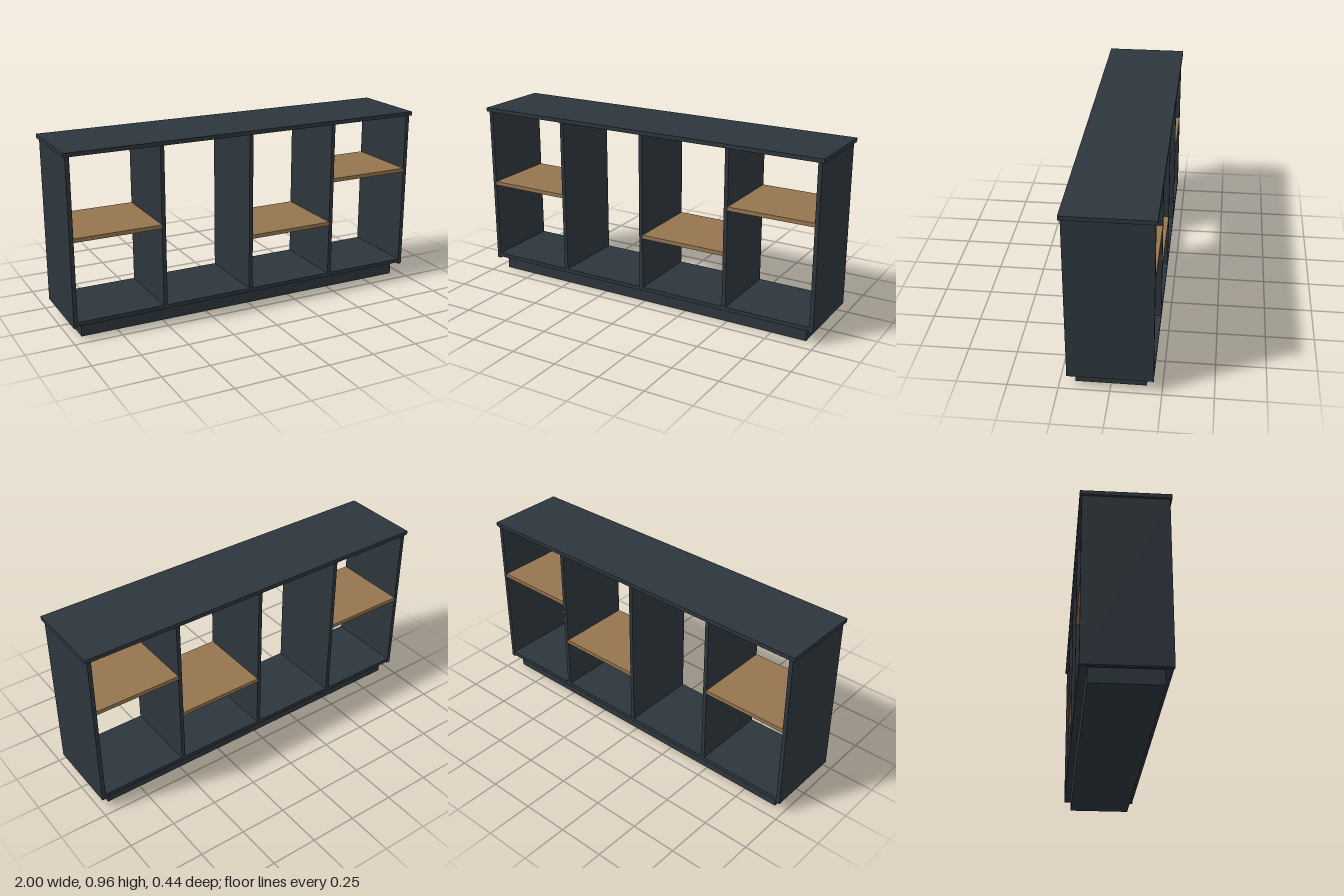
import * as THREE from 'three';

export function createModel() {
  const group = new THREE.Group();
  const anthracite = new THREE.MeshStandardMaterial({ color: 0x2d363d });
  anthracite.name = 'anthracite';
  const wood = new THREE.MeshStandardMaterial({ color: 0x96754f });
  wood.name = 'wood';

  // Box given by its extents in x and y, and its depth centred on z = 0
  const panel = (name, material, x0, x1, y0, y1, depth) => {
    const mesh = new THREE.Mesh(new THREE.BoxGeometry(x1 - x0, y1 - y0, depth), material);
    mesh.position.set((x0 + x1) / 2, (y0 + y1) / 2, 0);
    mesh.name = name;
    group.add(mesh);
  };

  const depth = 0.42, t = 0.021;
  const floorTop = 0.097, topBottom = 0.944;
  const sideOuter = 0.988, sideInner = sideOuter - t;

  // Carcass
  panel('topBoard', anthracite, -1, 1, topBottom, 0.965, 0.438);
  panel('bottomBoard', anthracite, -sideInner, sideInner, floorTop - t, floorTop, depth);
  panel('plinth', anthracite, -0.94, 0.94, 0, floorTop - t, 0.347);
  panel('rightSide', anthracite, -sideOuter, -sideInner, 0.067, topBottom, depth);
  panel('leftSide', anthracite, sideInner, sideOuter, 0.067, topBottom, depth);

  // Upright dividers
  const dividers = [-0.495, 0, 0.495];
  dividers.forEach((x, i) =>
    panel(`divider${i + 1}`, anthracite, x - t / 2, x + t / 2, floorTop, topBottom, depth));

  // Wooden shelves, one per bay (the second bay stays open)
  const bayStart = [-sideInner, ...dividers.map((x) => x + t / 2)];
  const bayEnd = [...dividers.map((x) => x - t / 2), sideInner];
  [0.525, null, 0.387, 0.632].forEach((y, i) => {
    if (y !== null) panel(`shelf${i + 1}`, wood, bayStart[i], bayEnd[i], y - t / 2, y + t / 2, depth);
  });

  return group;
}
